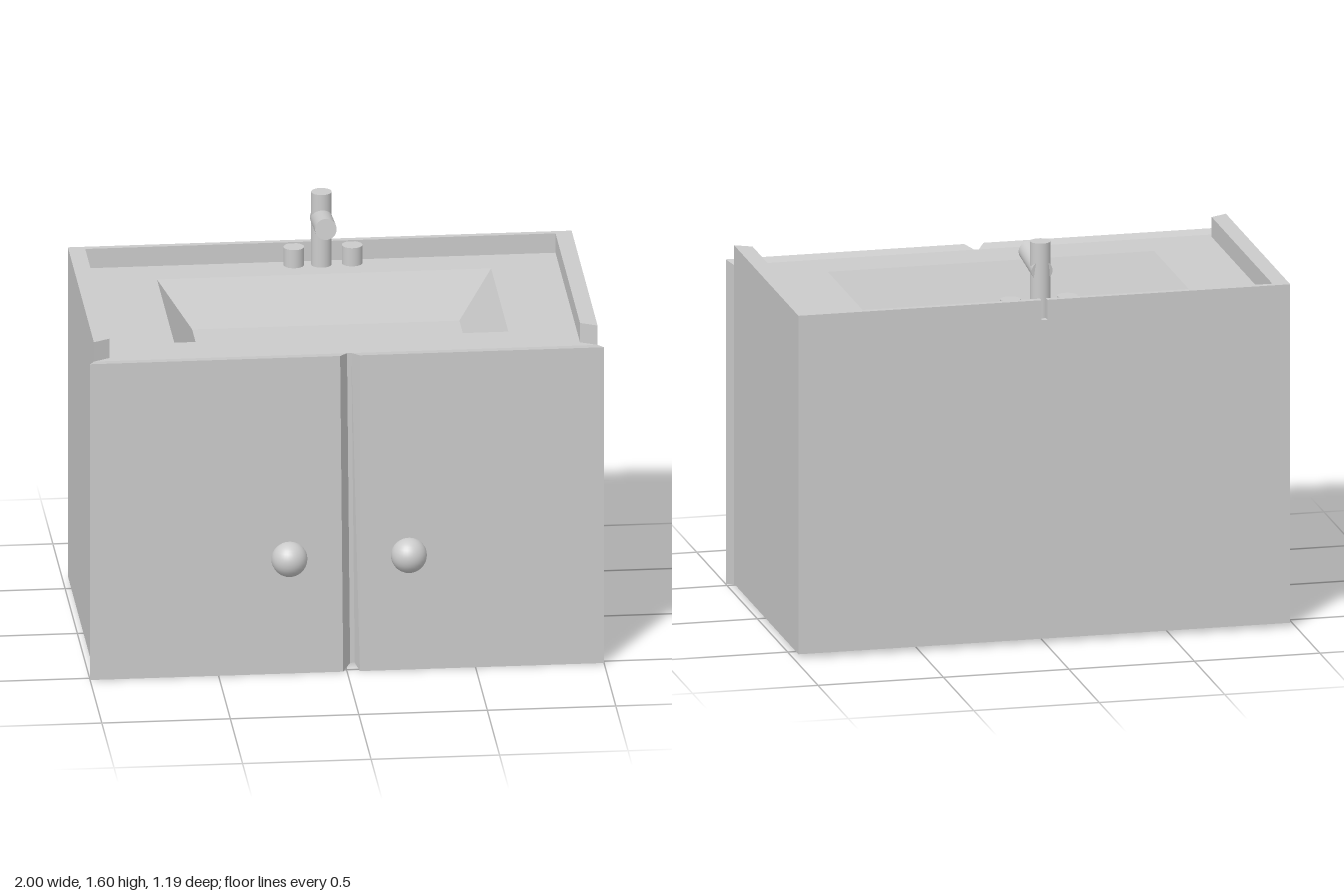
import * as THREE from 'three';

const material = new THREE.MeshStandardMaterial({ color: 0xcccccc });

// Joins four-cornered rings into a closed solid; each ring runs counter-clockwise about the direction of travel.
function loft(rings) {
  const pos = [];
  const tri = (...points) => points.forEach((p) => pos.push(...p));
  const quad = (a, b, c, d) => { tri(a, b, c); tri(a, c, d); };
  const first = rings[0], last = rings[rings.length - 1];
  quad(first[0], first[3], first[2], first[1]);
  for (let r = 0; r < rings.length - 1; r++) {
    for (let i = 0; i < 4; i++) {
      const j = (i + 1) % 4;
      quad(rings[r][i], rings[r][j], rings[r + 1][j], rings[r + 1][i]);
    }
  }
  quad(...last);
  const geometry = new THREE.BufferGeometry();
  geometry.setAttribute('position', new THREE.Float32BufferAttribute(pos, 3));
  geometry.computeVertexNormals();
  return geometry;
}

// Horizontal rectangle at height y
const flatRing = (x, zBack, zFront, y) => [[-x, y, zFront], [x, y, zFront], [x, y, zBack], [-x, y, zBack]];

export function createModel() {
  const model = new THREE.Group();
  const add = (name, geometry, x = 0, y = 0, z = 0) => {
    const mesh = new THREE.Mesh(geometry, material);
    mesh.name = name;
    mesh.position.set(x, y, z);
    model.add(mesh);
    return mesh;
  };

  // Cabinet, countertop and sunken basin in one skin
  const counterY = 1.295;
  add('cabinetWithBasin', loft([
    flatRing(0.98, -0.595, 0.465, 0.015),
    flatRing(0.98, -0.595, 0.465, counterY),
    flatRing(0.65, -0.42, 0.285, counterY),
    flatRing(0.52, -0.35, 0.215, 1.11),
  ]));

  // Raised rim on the sides and back, with a narrow slot behind the tap
  for (const side of [-1, 1]) {
    const outline = [[0.98, 0.465], [0.915, 0.43], [0.915, -0.57], [0.012, -0.57], [0.012, -0.595], [0.98, -0.595]];
    const shape = new THREE.Shape(outline.map(([x, z]) => new THREE.Vector2(side * x, -z)));
    const geometry = new THREE.ExtrudeGeometry(shape, { depth: 0.08, bevelEnabled: false });
    geometry.rotateX(-Math.PI / 2);
    add(side > 0 ? 'leftRim' : 'rightRim', geometry, 0, counterY, 0);
  }

  // Doors flare toward the front, leaving a slightly leaning groove between them
  const doorRing = (x0Low, x1Low, x1High, x0High, low, high, z) =>
    [[x0Low, low, z], [x1Low, low, z], [x1High, high, z], [x0High, high, z]];
  add('rightDoor', loft([
    doorRing(-0.98, 0.017, 0.005, -0.98, 0.015, counterY, 0.465),
    doorRing(-1, -0.015, -0.027, -1, 0, 1.305, 0.52),
  ]));
  add('leftDoor', loft([
    doorRing(0.035, 0.98, 0.98, 0.022, 0.015, counterY, 0.465),
    doorRing(0.05, 1, 1, 0.05, 0, 1.305, 0.52),
  ]));

  // Door knobs
  const knob = new THREE.SphereGeometry(0.07, 32, 16);
  add('rightKnob', knob, -0.225, 0.475, 0.525);
  add('leftKnob', knob, 0.24, 0.475, 0.525);

  // Tap: post, slightly rising spout and two handles
  add('tapPost', new THREE.CylinderGeometry(0.04, 0.04, 0.3, 32), 0, 1.445, -0.53);
  const spout = add('tapSpout', new THREE.CylinderGeometry(0.042, 0.042, 0.214, 32), 0, 1.494, -0.451);
  spout.rotation.x = Math.PI / 2 - 0.12;
  const handle = new THREE.CylinderGeometry(0.04, 0.04, 0.08, 32);
  add('rightTapHandle', handle, -0.107, 1.33, -0.533);
  add('leftTapHandle', handle, 0.12, 1.33, -0.533);

  return model;
}
